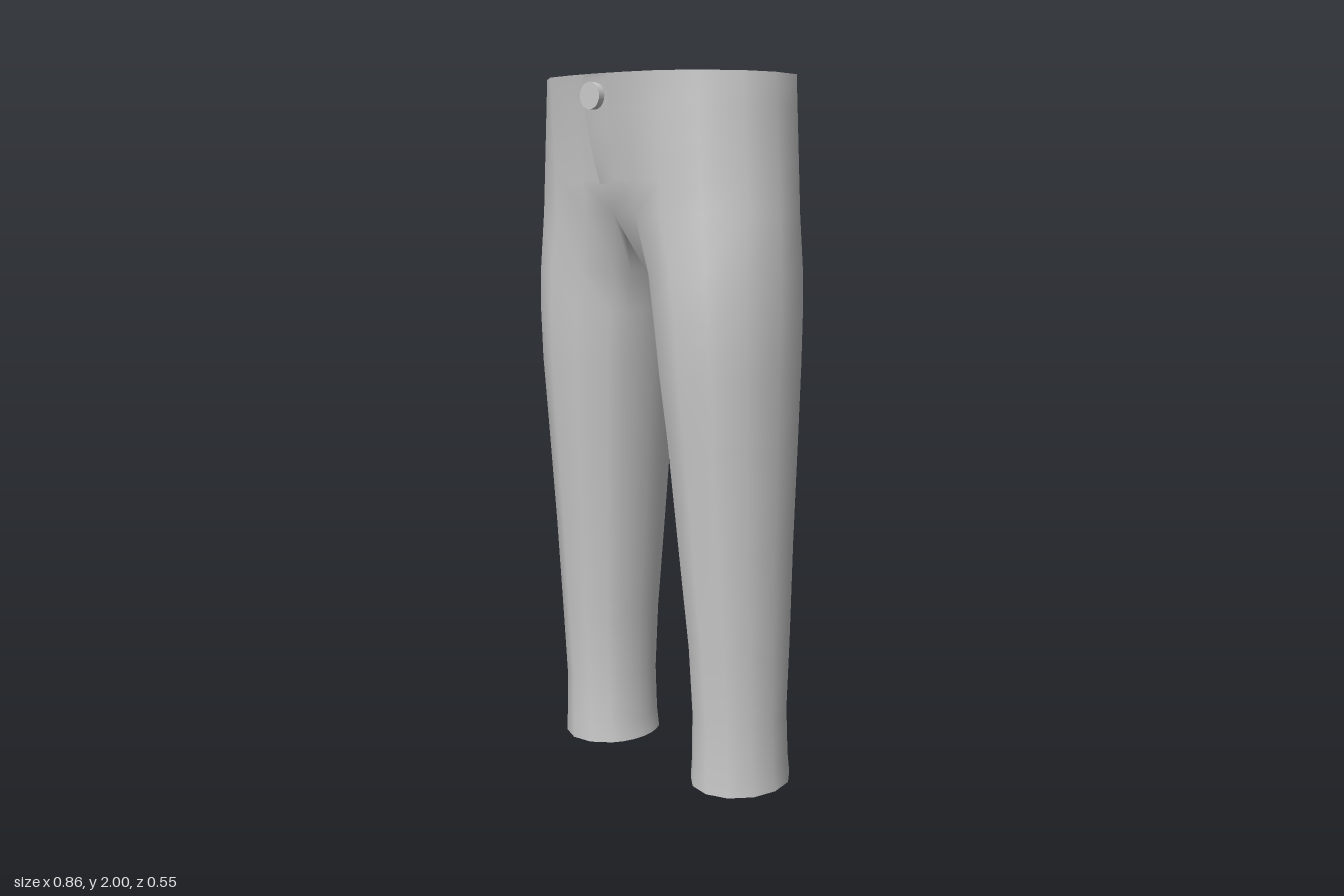
import * as THREE from 'three';
import { mergeVertices } from 'three/addons/utils/BufferGeometryUtils.js';

// Leg sections: y, inner x, outer x, back z, front z
const LEG = [
  [0, 0.14, 0.412, -0.205, 0.11], [0.06, 0.147, 0.405, -0.2, 0.11], [0.2, 0.15, 0.4, -0.195, 0.11],
  [0.4, 0.143, 0.403, -0.205, 0.125], [0.7, 0.115, 0.408, -0.22, 0.152], [1.0, 0.088, 0.418, -0.235, 0.18],
  [1.2, 0.063, 0.426, -0.245, 0.2], [1.35, 0.042, 0.431, -0.25, 0.208], [1.47, 0.022, 0.427, -0.257, 0.212],
];
// Column angles around a leg: eleven outer columns, then five on the inner thigh
const ANGLES = [140, 113, 85, 57, 28, 0, -28, -57, -85, -113, -140, -153, -166, 180, 166, 153];
// Half outlines (x, z) from front centre to back centre
const HIP = [[0, 0.19], [0.1, 0.203], [0.21, 0.215], [0.32, 0.172], [0.397, 0.075], [0.418, -0.025],
  [0.397, -0.13], [0.32, -0.22], [0.21, -0.265], [0.1, -0.262], [0, -0.247]];
const WAIST = [[0, 0.255], [0.11, 0.248], [0.215, 0.228], [0.3, 0.17], [0.367, 0.067], [0.384, -0.037],
  [0.355, -0.155], [0.3, -0.218], [0.21, -0.267], [0.11, -0.275], [0, -0.272]];
// Crotch seam (y, z) from back to front
const CROTCH = [[1.57, -0.19], [1.53, -0.11], [1.52, -0.02], [1.53, 0.07], [1.57, 0.145]];

const HIP_Y = 1.63;

const legRing = ([y, xi, xo, zb, zf], s = 1) => ANGLES.map((deg) => {
  const a = THREE.MathUtils.degToRad(deg);
  return [(xi + xo) / 2 + s * Math.cos(a) * (xo - xi) / 2, y, (zb + zf) / 2 + s * Math.sin(a) * (zf - zb) / 2];
});
const hipRing = (f) => HIP.map(([x, z], i) => [
  THREE.MathUtils.lerp(x, WAIST[i][0], f), THREE.MathUtils.lerp(HIP_Y, 2, f), THREE.MathUtils.lerp(z, WAIST[i][1], f)]);
const waistRing = (s, y) => WAIST.map(([x, z]) => [x * s, y, (z + 0.01) * s - 0.01]);

// Triangles between neighbouring rows
function sheet(rows, closed) {
  const out = [];
  for (let r = 0; r < rows.length - 1; r++) {
    const n = rows[r].length;
    for (let j = 0; j < (closed ? n : n - 1); j++) {
      const k = (j + 1) % n;
      const [a, b, c, d] = [rows[r][j], rows[r][k], rows[r + 1][k], rows[r + 1][j]];
      out.push([a, b, c], [a, c, d]);
    }
  }
  return out;
}
const mirror = (tris) => tris.map(([a, b, c]) => [a, c, b].map(([x, y, z]) => [-x, y, z]));

function smooth(tris) {
  const g = new THREE.BufferGeometry();
  g.setAttribute('position', new THREE.Float32BufferAttribute(tris.flat(2), 3));
  const m = mergeVertices(g, 1e-5);
  m.computeVertexNormals();
  return m;
}

export function createModel() {
  const group = new THREE.Group();
  const cloth = new THREE.MeshStandardMaterial({ color: 0xcccccc });
  cloth.name = 'grey cloth';
  const add = (name, geo) => {
    const m = new THREE.Mesh(geo, cloth);
    m.name = name;
    group.add(m);
    return m;
  };
  const addPair = (name, tris) => add(name, smooth([...tris, ...mirror(tris)]));

  // Legs and hips as one smooth skin
  const split = [...hipRing(0), ...CROTCH.map(([y, z]) => [0, y, z])];
  const legs = sheet([...LEG.map((s) => legRing(s)), split], true);
  const hips = sheet([0, 0.25, 0.5, 0.75, 1].map(hipRing), false);
  addPair('trousers', [...legs, ...hips]);

  // Flat waist rim and rounded hollow inside
  addPair('waistRim', sheet([waistRing(1, 2), waistRing(0.91, 2)], false));
  const arc = [0, 1, 2, 3, 4, 5, 6, 7, 8].map((i) => i / 8 * Math.PI / 2);
  addPair('waistLining', sheet(arc.map((a) => waistRing(0.91 * Math.cos(a), 2 - 0.35 * Math.sin(a))), false));

  // Hem rims and the hollows inside them
  addPair('hemRims', sheet([legRing(LEG[0], 0.9), legRing(LEG[0])], true));
  const cup = arc.map((a) => legRing([0.15 * Math.sin(a), ...LEG[0].slice(1)], 0.9 * Math.cos(a))).reverse();
  addPair('legLinings', sheet(cup, true));

  // Fly flap: raised at its free edge, sinking into the front on the other side
  const front = (x, y) => THREE.MathUtils.lerp(0.19, 0.255, (y - HIP_Y) / (2 - HIP_Y)) - Math.abs(x) * 0.06;
  const edge = [[-0.035, 1.71], [-0.041, 1.78], [-0.046, 1.86], [-0.05, 1.94], [-0.047, 1.97], [-0.038, 1.988], [-0.02, 1.999]];
  const flap = edge.map(([x0, y], i) => [0, 0, 0.5, 1].map((u, k) => {
    const x = THREE.MathUtils.lerp(x0, 0.05, u);
    const lift = k === 0 ? -0.004 : [0.012, 0.01, -0.004][k - 1] * (i === 0 ? 0.4 : 1);
    return [x, y, front(x, y) + lift];
  }));
  add('flySide', smooth(sheet(flap.map((r) => r.slice(0, 2)), false)));
  add('flyFlap', smooth(sheet(flap.map((r) => r.slice(1)), false)));
  const last = flap[flap.length - 1];
  add('flyTop', smooth(sheet([last.slice(1), last.slice(1).map(([x, y]) => [x, y, 0.24])], false)));

  // Button
  const button = add('button', new THREE.CylinderGeometry(0.036, 0.036, 0.02, 20));
  button.rotation.set(Math.PI / 2, 0, -0.08);
  button.position.set(0, 1.942, 0.264);

  return group;
}
